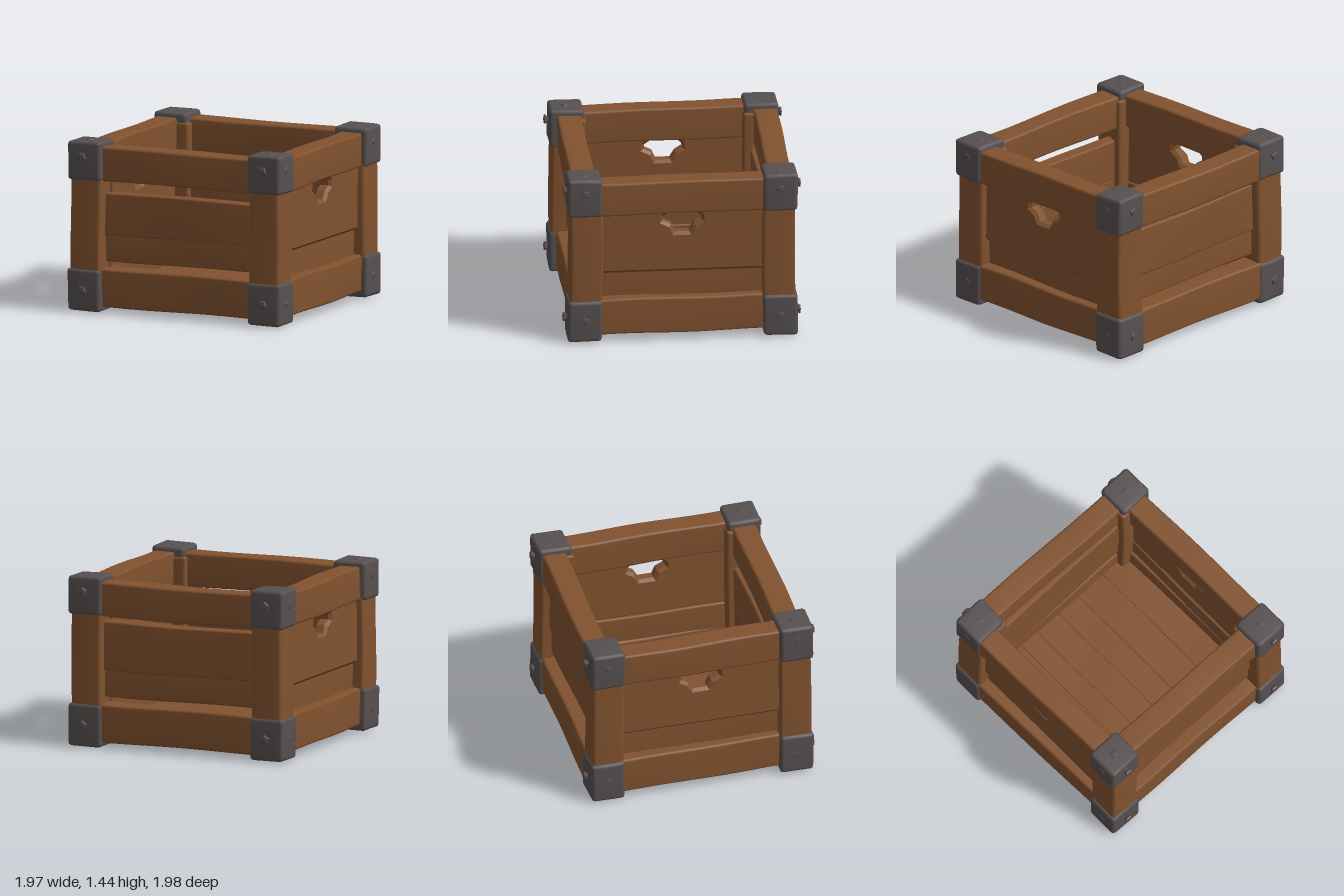
import * as THREE from 'three';
import { mergeVertices } from 'three/addons/utils/BufferGeometryUtils.js';

const wood = new THREE.MeshStandardMaterial({ color: 0x81522f });
wood.name = 'brown wood';
const iron = new THREE.MeshStandardMaterial({ color: 0x575050 });
iron.name = 'dark iron';

// Smooth wobble that makes straight parts look hand cut
function wobble(p, amount) {
  const { x, y, z } = p;
  p.x += amount * Math.sin(5.1 * y + 3.7 * z + 1.3 * x);
  p.y += amount * Math.sin(4.3 * x + 5.9 * z + 2.1 * y + 1);
  p.z += amount * Math.sin(4.7 * x + 3.9 * y + 1.7 * z + 2);
}

// Chamfered box from min to max corner, with extra rings along its length
function roughBox(min, max, bevel, amount) {
  const lo = new THREE.Vector3(...min), hi = new THREE.Vector3(...max);
  const size = hi.clone().sub(lo), centre = lo.clone().add(hi).multiplyScalar(0.5);
  const segs = size.toArray().map((s) => 2 + Math.max(1, Math.round(s / 0.15)));
  let geo = new THREE.BoxGeometry(1, 1, 1, ...segs);
  geo.deleteAttribute('uv');
  geo.deleteAttribute('normal');
  geo = mergeVertices(geo);
  const pos = geo.attributes.position, p = new THREE.Vector3(), inner = new THREE.Vector3();
  for (let i = 0; i < pos.count; i++) {
    p.fromBufferAttribute(pos, i);
    ['x', 'y', 'z'].forEach((k, a) => {
      const n = segs[a], step = Math.round((p[k] + 0.5) * n), h = size[k] / 2 - bevel;
      inner[k] = -h + (2 * h * (Math.min(Math.max(step, 1), n - 1) - 1)) / (n - 2);
      p[k] = step === 0 ? -h - bevel : step === n ? h + bevel : inner[k];
    });
    p.sub(inner);
    if (p.lengthSq() > 0) p.setLength(bevel);
    p.add(inner).add(centre);
    wobble(p, amount);
    pos.setXYZ(i, p.x, p.y, p.z);
  }
  geo.computeVertexNormals();
  return geo;
}

// Side board with a bevelled hand hole cut down from its top edge
function handleBoard(x0, x1) {
  const outline = [[-0.72, 0.585], [0.72, 0.585], [0.72, 1.17], [0.11, 1.17], [0.11, 1.1],
    [0.155, 1.07], [0.16, 1.03], [0.09, 0.995], [0.06, 0.93], [-0.06, 0.93], [-0.1, 0.995],
    [-0.16, 1.03], [-0.155, 1.07], [-0.12, 1.1], [-0.12, 1.17], [-0.72, 1.17]];
  const shape = new THREE.Shape(outline.map(([z, y]) => new THREE.Vector2(-z, y)).reverse());
  const bevel = 0.025;
  const geo = new THREE.ExtrudeGeometry(shape, {
    depth: x1 - x0 - 2 * bevel, bevelThickness: bevel, bevelSize: bevel, bevelOffset: -bevel, bevelSegments: 1,
  });
  geo.rotateY(Math.PI / 2);
  geo.translate(x0 + bevel, 0, 0);
  return geo;
}

export function createModel() {
  const crate = new THREE.Group();
  crate.name = 'crate';
  const add = (name, geo, mat) => {
    const mesh = new THREE.Mesh(geo, mat);
    mesh.name = name;
    crate.add(mesh);
    return mesh;
  };
  const board = (name, min, max, bevel = 0.015, amount = 0.004) =>
    add(name, roughBox(min, max, bevel, amount), wood);

  // Floor boards
  const seams = [-0.78, -0.42, -0.24, 0, 0.22, 0.5, 0.78];
  for (let i = 0; i < seams.length - 1; i++) {
    board('floorBoard', [seams[i], 0.11, -0.78], [seams[i + 1], 0.19, 0.78], 0.005, 0.003);
  }

  // Front and back: rails set slightly askew, and recessed boards with open slots
  for (const s of [1, -1]) {
    const side = s > 0 ? 'front' : 'back';
    const across = (name, y0, y1, [z0, z1], bevel, amount) =>
      board(side + name, [-0.75, y0, z0], [0.75, y1, z1], bevel, amount);
    const railZ = s > 0 ? [0.695, 0.898] : [-0.93, -0.73];
    across('BottomRail', 0.055, 0.375, railZ, 0.02).rotation.y = -0.014;
    across('TopRail', 1.105, 1.39, railZ, 0.02).rotation.y = -0.014;
    across('LowerBoard', 0.425, 0.655, s > 0 ? [0.71, 0.805] : [-0.84, -0.72]);
    across('UpperBoard', 0.645, s > 0 ? 1.0 : 1.055, s > 0 ? [0.71, 0.825] : [-0.86, -0.715]);
  }

  // Left and right: rails set slightly askew, lower board and board with hand hole
  for (const s of [1, -1]) {
    const side = s > 0 ? 'left' : 'right';
    const span = (a, b) => (s > 0 ? [a, b] : [-b, -a]);
    const along = (name, y0, y1, [x0, x1], bevel) =>
      board(side + name, [x0, y0, -0.75], [x1, y1, 0.75], bevel);
    along('BottomRail', 0.065, 0.375, span(0.75, 0.945), 0.02).rotation.y = 0.022;
    along('TopRail', 1.11, 1.395, span(0.75, 0.945), 0.02).rotation.y = 0.022;
    along('LowerBoard', 0.34, 0.6, span(0.765, 0.86));
    add(side + 'HandleBoard', handleBoard(...span(0.78, 0.9)), wood);
  }

  // Corner posts, iron caps and bolts
  const boltGeo = new THREE.LatheGeometry(
    [[0.028, -0.04], [0.022, 0.015], [0.042, 0.035], [0.034, 0.046], [0, 0.05]].map(([r, y]) => new THREE.Vector2(r, y)), 5
  ).toNonIndexed();
  boltGeo.computeVertexNormals();
  const bolt = (pos, dir) => {
    const mesh = add('bolt', boltGeo, iron);
    mesh.position.set(...pos);
    mesh.quaternion.setFromUnitVectors(new THREE.Vector3(0, 1, 0), new THREE.Vector3(...dir));
  };
  for (const sx of [1, -1]) {
    for (const sz of [1, -1]) {
      const post = (name, a, b, y0, y1, bevel) => {
        const xs = [a[0] * sx, b[0] * sx].sort((m, n) => m - n);
        const zs = [a[1] * sz, b[1] * sz].sort((m, n) => m - n);
        board(name, [xs[0], y0, zs[0]], [xs[1], y1, zs[1]], bevel);
      };
      post('cornerPost', [0.685, 0.663], [0.957, 0.933], 0.1, 1.35, 0.025);
      post('innerPost', [0.66, 0.655], [0.78, 0.75], 0.15, 1.36, 0.02);
      const cx = 0.83 * sx, cz = 0.808 * sz;
      for (const [y0, y1, up] of [[0.015, 0.37, -1], [1.11, 1.435, 1]]) {
        add('cornerCap', roughBox([cx - 0.15, y0, cz - 0.142], [cx + 0.15, y1, cz + 0.142], 0.028, 0.004), iron);
        const by = up > 0 ? 1.31 : 0.195;
        bolt([cx, by, 0.938 * sz], [0, 0, sz]);
        // Sunken bolts, only their tips showing
        bolt([0.936 * sx, by, cz], [sx, 0, 0]);
        bolt([cx, up > 0 ? 1.392 : 0.052, cz], [0, up, 0]);
      }
    }
  }

  // Small nail in the front rail
  const nail = new THREE.CylinderGeometry(0.018, 0.018, 0.04, 8);
  nail.rotateX(Math.PI / 2);
  add('nail', nail, iron).position.set(0.32, 0.18, 0.888);
  return crate;
}
